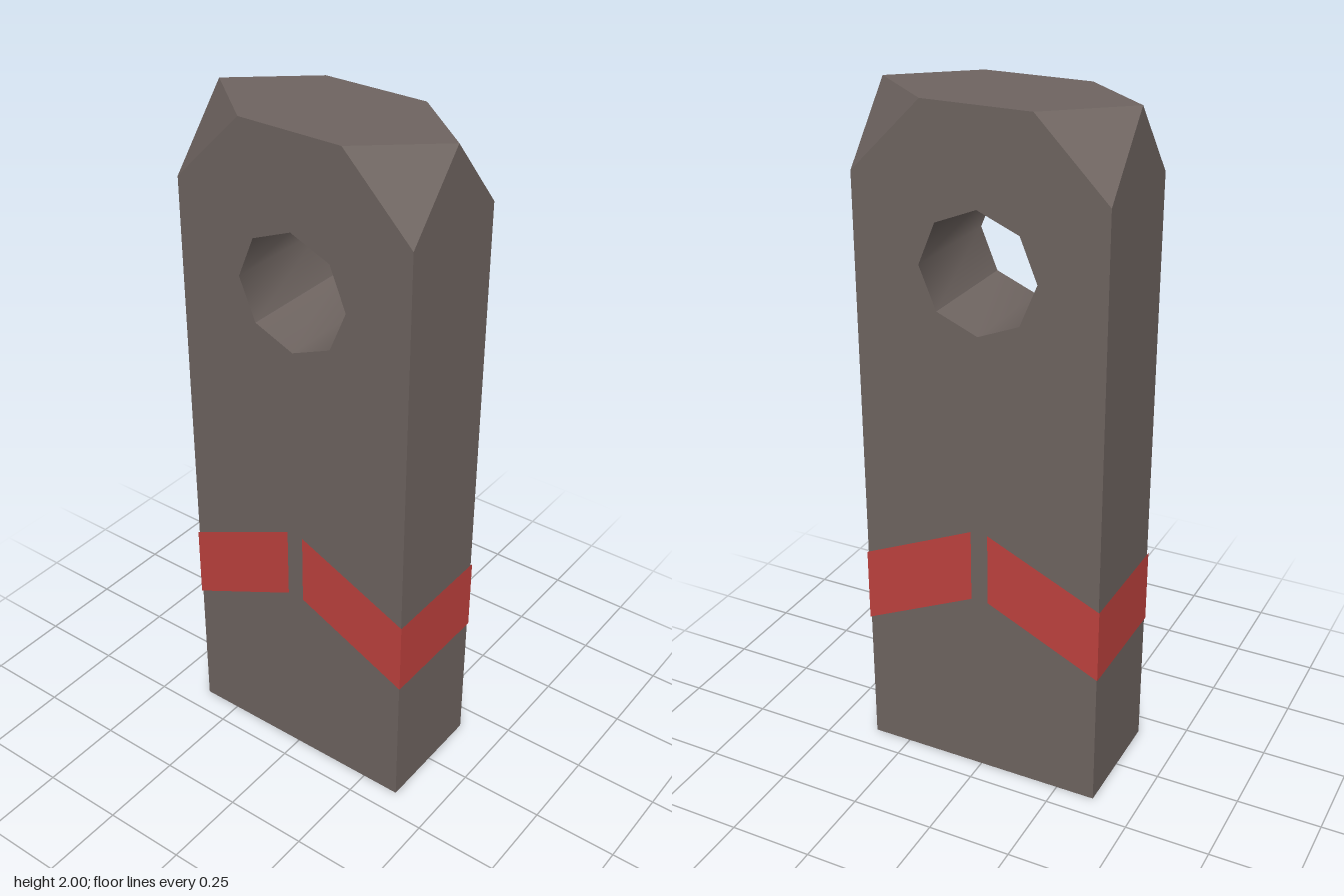
import * as THREE from 'three';
import { mergeGeometries } from 'three/addons/utils/BufferGeometryUtils.js';

const W = 0.367, D = 0.178, H = 2;         // half width, half depth, height
const TOP_X = 0.157, SHOULDER = 1.79;      // where the corner cuts end
const HOLE_Y = 1.563, HOLE_R = 0.172;

// Flat convex polygon, wound so that it faces away from the middle of the block
function face(corners) {
  const p = corners.map(c => new THREE.Vector3(...c));
  const normal = p[1].clone().sub(p[0]).cross(p[2].clone().sub(p[0]));
  if (normal.dot(p[0].clone().sub(new THREE.Vector3(0, 1, 0))) < 0) p.reverse();
  const tris = [];
  for (let i = 1; i < p.length - 1; i++) tris.push(p[0], p[i], p[i + 1]);
  const g = new THREE.BufferGeometry().setFromPoints(tris);
  g.computeVertexNormals();
  return g;
}

// Front panel outline pierced by the octagonal hole
function panel() {
  const v = (x, y) => new THREE.Vector2(x, y);
  const shape = new THREE.Shape([v(-W, 0), v(W, 0), v(W, SHOULDER), v(TOP_X, H), v(-TOP_X, H), v(-W, SHOULDER)]);
  const ring = [];
  for (let i = 0; i < 8; i++) {
    const a = i * Math.PI / 4;
    ring.push(v(Math.sin(a) * HOLE_R, HOLE_Y + Math.cos(a) * HOLE_R));
  }
  shape.holes.push(new THREE.Path(ring));
  return new THREE.ShapeGeometry(shape).translate(0, 0, D);
}

export function createModel() {
  const stone = new THREE.MeshStandardMaterial({ color: 0x6f6561 });
  stone.name = 'stone grey';
  const red = new THREE.MeshStandardMaterial({ color: 0xc0423e });
  red.name = 'painted red';

  const model = new THREE.Group();
  model.name = 'piercedBlock';
  const add = (name, geometry, material) => {
    const mesh = new THREE.Mesh(geometry, material);
    mesh.name = name;
    model.add(mesh);
  };

  // Broad faces
  add('frontPanel', panel(), stone);
  add('backPanel', panel().rotateY(Math.PI), stone);

  // Top, base, pointed sides and the four cut corners
  const shell = [
    face([[-W, H, 0], [-TOP_X, H, D], [TOP_X, H, D], [W, H, 0], [TOP_X, H, -D], [-TOP_X, H, -D]]),
    face([[-W, 0, -D], [W, 0, -D], [W, 0, D], [-W, 0, D]]),
  ];
  for (const sx of [-1, 1]) {
    const x = sx * W;
    shell.push(face([[x, 0, D], [x, 0, -D], [x, SHOULDER, -D], [x, H, 0], [x, SHOULDER, D]]));
    for (const sz of [-1, 1]) {
      shell.push(face([[sx * TOP_X, H, sz * D], [x, H, 0], [x, SHOULDER, sz * D]]));
    }
  }
  add('blockShell', mergeGeometries(shell), stone);

  // Hole lining: four softly bent quarters with creases between them
  const profile = [new THREE.Vector2(HOLE_R, D), new THREE.Vector2(HOLE_R, -D)];
  for (let i = 0; i < 4; i++) {
    const g = new THREE.LatheGeometry(profile, 2, Math.PI / 4 + i * Math.PI / 2, Math.PI / 2);
    g.computeVertexNormals();
    add('holeLining', g.rotateX(Math.PI / 2).translate(0, HOLE_Y, 0), stone);
  }

  // Painted chevron wrapping round the block
  const px = W + 0.003, pz = D + 0.003, gap = 0.026;
  for (const sx of [-1, 1]) {
    const x = sx * px, inner = sx * gap;
    add('sideBand', face([[x, 0.42, pz], [x, 0.42, -pz], [x, 0.645, -pz], [x, 0.645, pz]]), red);
    for (const sz of [-1, 1]) {
      const z = sz * pz;
      add('chevronBand', face([[x, 0.42, z], [inner, 0.58, z], [inner, 0.8, z], [x, 0.645, z]]), red);
    }
  }
  return model;
}
